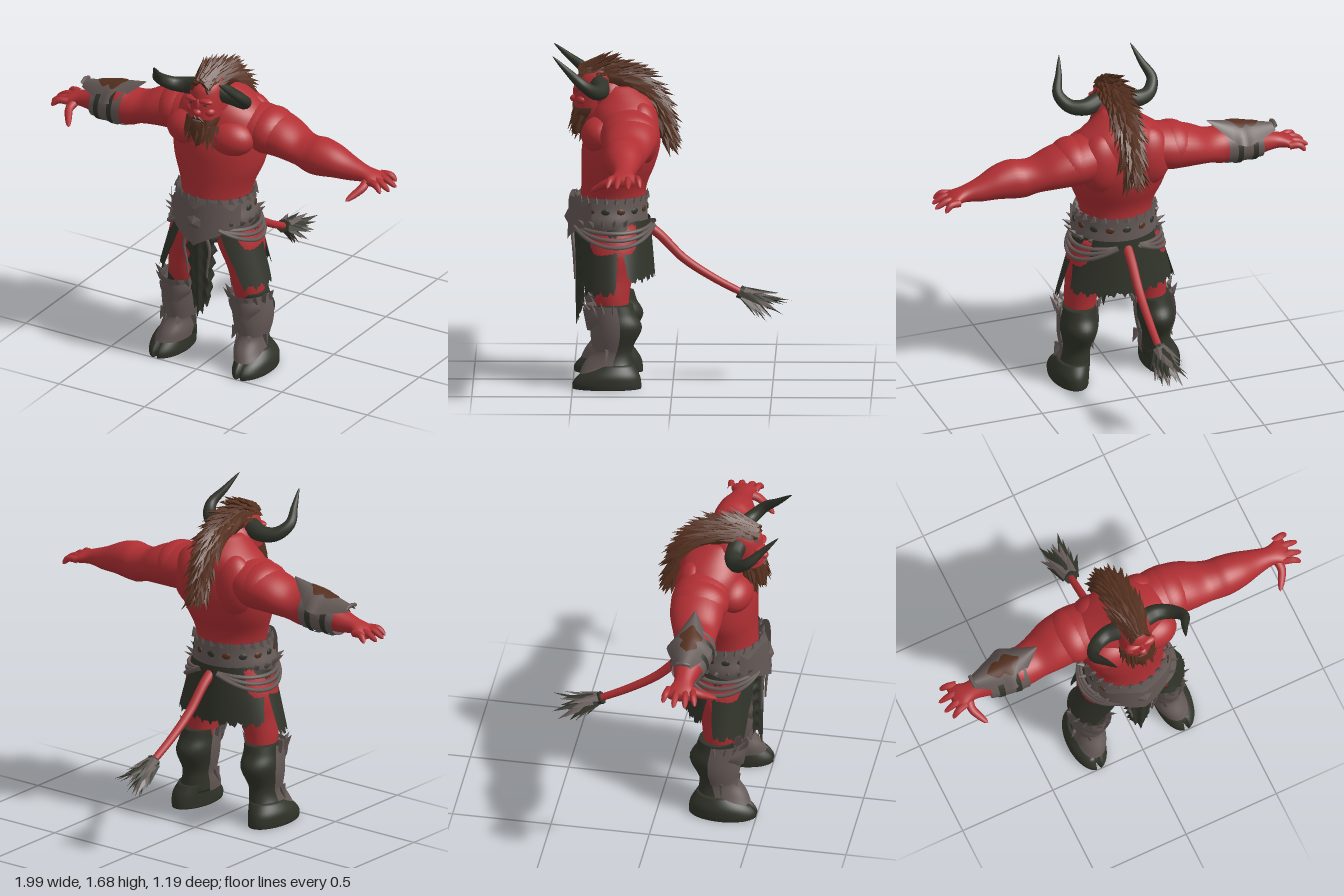
import * as THREE from 'three';
import { mergeGeometries, mergeVertices } from 'three/addons/utils/BufferGeometryUtils.js';

const V = (x, y, z) => new THREE.Vector3(x, y, z);
const { sin, cos, abs, PI, sqrt, max, min } = Math;
const lerp = THREE.MathUtils.lerp, rad = THREE.MathUtils.degToRad;

function makeRandom(seed) {
  return () => ((seed = (seed * 16807) % 2147483647) / 2147483647);
}

// Grid surface from a rule fn(u, v) -> Vector3
function sheet(nu, nv, fn) {
  const pos = [], idx = [];
  for (let j = 0; j <= nv; j++) for (let i = 0; i <= nu; i++) pos.push(...fn(i / nu, j / nv).toArray());
  for (let j = 0; j < nv; j++) for (let i = 0; i < nu; i++) {
    const a = j * (nu + 1) + i, c = a + nu + 1;
    idx.push(a, a + 1, c, a + 1, c + 1, c);
  }
  let g = new THREE.BufferGeometry();
  g.setAttribute('position', new THREE.Float32BufferAttribute(pos, 3));
  g.setIndex(idx);
  g = mergeVertices(g, 1e-5);
  g.computeVertexNormals();
  return g;
}

// Smooth loft through elliptical sections [position, centre1, centre2, radius1, radius2], ascending
function loft(axis, sections, { t0 = 0, t1 = 2 * PI, n = 32, cap = true } = {}) {
  const centre = new THREE.CatmullRomCurve3(sections.map(s => V(s[0], s[1], s[2])), false, 'catmullrom');
  const radius = new THREE.CatmullRomCurve3(sections.map(s => V(s[3], s[4], 0)), false, 'catmullrom');
  const rows = (sections.length - 1) * 5, extra = cap ? 1 : 0;
  return sheet(n, rows + 2 * extra, (u, v) => {
    const row = Math.round(v * (rows + 2 * extra)) - extra;
    const k = min(1, max(0, row / rows)), c = centre.getPoint(k), r = radius.getPoint(k);
    const s = row < 0 || row > rows ? 0 : 1, t = lerp(t0, t1, u);
    return axis === 'y'
      ? V(c.y + s * r.x * sin(t), c.x, c.z + s * r.y * cos(t))
      : V(c.x, c.y + s * r.x * cos(t), c.z + s * r.y * sin(t));
  });
}

// Tube with a radius rule r(t)
function taper(points, r, segs = 24, sides = 10) {
  const curve = new THREE.CatmullRomCurve3(points.map(p => V(...p)));
  const g = new THREE.TubeGeometry(curve, segs, 1, sides), p = g.attributes.position, v = V(0, 0, 0);
  for (let i = 0; i < p.count; i++) {
    const t = Math.floor(i / (sides + 1)) / segs, c = curve.getPointAt(t);
    v.fromBufferAttribute(p, i).sub(c).multiplyScalar(r(t)).add(c);
    p.setXYZ(i, v.x, v.y, v.z);
  }
  return g;
}

const ball = (x, y, z, a, b, c) => new THREE.SphereGeometry(1, 28, 18).scale(a, b, c).translate(x, y, z);

// Faceted pointed lock, thorn or leaf
function spike(base, dir, len, r, flat = 0.6, sides = 4) {
  const g = new THREE.ConeGeometry(r, len, sides).translate(0, len / 2, 0).scale(1, 1, flat).toNonIndexed();
  g.applyQuaternion(new THREE.Quaternion().setFromUnitVectors(V(0, 1, 0), dir.clone().normalize()));
  g.translate(base.x, base.y, base.z);
  g.computeVertexNormals();
  return g;
}

function mirrored(geo) {
  const g = geo.clone().scale(-1, 1, 1);
  const ids = g.index ? [...g.index.array] : Array.from({ length: g.attributes.position.count }, (_, i) => i);
  for (let i = 0; i < ids.length; i += 3) [ids[i + 1], ids[i + 2]] = [ids[i + 2], ids[i + 1]];
  g.setIndex(ids);
  return g;
}

export function createModel() {
  const root = new THREE.Group();
  const material = (name, color, side = THREE.DoubleSide) => Object.assign(new THREE.MeshStandardMaterial({ color, side }), { name });
  const skin = material('red skin', 0xb23034, THREE.FrontSide), dark = material('dark hide', 0x31342a);
  const iron = material('grey armour', 0x655a57), brown = material('brown hair', 0x55301f);
  const add = (name, geo, mat) => { const m = new THREE.Mesh(geo, mat); m.name = name; root.add(m); };
  const pair = (name, geo, mat) => { add(name + 'Left', geo, mat); add(name + 'Right', mirrored(geo), mat); };
  const rnd = makeRandom(77);

  // Torso, neck and muscles
  add('torso', loft('y', [[.68, 0, .29, .12, .13], [.8, 0, .3, .19, .165], [.92, 0, .3, .183, .162], [1, 0, .295, .2, .165],
    [1.1, 0, .275, .24, .185], [1.2, 0, .26, .257, .195], [1.3, 0, .25, .255, .18], [1.38, 0, .24, .225, .165],
    [1.44, 0, .24, .15, .135], [1.5, 0, .27, .07, .08]], { n: 48 }), skin);
  add('neck', ball(0, 1.42, .32, .1, .12, .1), skin);
  pair('chest', ball(.115, 1.265, .36, .13, .095, .1), skin);
  pair('backMuscle', ball(.125, 1.27, .16, .115, .16, .095), skin);
  pair('shoulder', ball(.265, 1.285, .215, .115, .118, .146), skin);

  // Arms and hands
  pair('arm', loft('x', [[.12, 1.3, .22, .11, .13], [.22, 1.285, .215, .12, .145], [.3, 1.275, .21, .112, .138], [.38, 1.26, .215, .1, .13],
    [.46, 1.235, .225, .085, .112], [.52, 1.222, .235, .094, .104], [.58, 1.225, .24, .098, .102], [.66, 1.22, .24, .083, .09],
    [.75, 1.2, .235, .06, .066], [.83, 1.19, .235, .04, .05], [.89, 1.178, .232, .03, .066], [.93, 1.165, .232, .02, .066]]), skin);
  const finger = t => .02 * sqrt(max(0, 1 - t ** 5)) * (1 - .25 * t);
  [[.17, .15, .96], [.212, .21, .995], [.252, .268, .99], [.285, .315, .965]].forEach(([z0, z1, x], i) =>
    pair('finger' + (i + 1), taper([[.88, 1.178, z0], [.93, 1.178, lerp(z0, z1, .55)], [x, 1.145, z1]], finger, 14, 8), skin));
  pair('thumb', taper([[.85, 1.18, .25], [.86, 1.155, .31], [.835, 1.125, .36], [.81, 1.1, .4]], t => finger(t) * 1.2, 14, 8), skin);

  // Head and face
  add('head', loft('y', [[1.29, 0, .42, .05, .05], [1.36, 0, .41, .078, .088], [1.43, 0, .405, .085, .092], [1.5, 0, .395, .085, .095],
    [1.56, 0, .37, .075, .1], [1.61, 0, .34, .04, .05]]), skin);
  add('nose', mergeGeometries([ball(0, 1.43, .49, .024, .02, .026), ball(0, 1.465, .482, .015, .04, .02)]), skin);
  pair('brow', ball(.037, 1.492, .474, .042, .015, .024).rotateZ(0), skin);
  pair('cheek', ball(.05, 1.43, .455, .03, .024, .03), skin);
  pair('eye', ball(.036, 1.471, .482, .015, .005, .006), dark);
  add('teeth', ball(0, 1.385, .497, .026, .008, .008), iron);

  // Horns
  pair('horn', taper([[.06, 1.51, .37], [.14, 1.49, .36], [.21, 1.495, .39], [.25, 1.54, .45], [.22, 1.605, .525], [.19, 1.675, .6]],
    t => .048 * (1 - t) ** .75 + .001, 36, 14), dark);

  // Mane: core along the spine with overlapping locks
  const manePath = [[0, 1.545, .47], [0, 1.555, .34], [0, 1.51, .2], [0, 1.42, .105], [0, 1.3, .06], [0, 1.22, .04]];
  const maneCurve = new THREE.CatmullRomCurve3(manePath.map(p => V(...p)));
  const maneR = t => .072 * (1 - .55 * t * t) * min(1, .65 + 3 * t);
  add('maneCore', taper(manePath, t => maneR(t) * (t > .98 ? .1 : 1)), brown);
  const locks = [], X = V(1, 0, 0);
  for (let i = 0; i < 24; i++) for (let j = 0; j < 8; j++) {
    const t = min(1, (i + rnd() * .8) / 24), a = rad(-95 + 190 * (j + rnd()) / 8);
    const T = maneCurve.getTangentAt(t), N = X.clone().cross(T);
    const out = N.multiplyScalar(cos(a)).addScaledVector(X, sin(a) * .9);
    const base = maneCurve.getPointAt(t).addScaledVector(out, maneR(t) * .82);
    locks.push(spike(base, T.multiplyScalar(.85).addScaledVector(out, .28 + .25 * rnd()), .08 + .05 * rnd(), .024, .7));
  }
  add('maneLocks', mergeGeometries(locks), brown);

  // Beard
  add('beardCore', loft('y', [[1.25, 0, .49, .012, .015], [1.31, 0, .455, .055, .055], [1.36, 0, .43, .078, .076], [1.395, 0, .41, .084, .082]]), brown);
  const beard = [];
  for (let i = 0; i < 46; i++) {
    const a = rad(-110 + 220 * rnd()), y = 1.3 + .1 * rnd(), k = y > 1.34 ? 1 : .75;
    if (abs(a) < .4 && y > 1.36) continue;
    beard.push(spike(V(.08 * k * sin(a), y, .425 + .07 * k * cos(a)), V(sin(a) * .25, -1, .25 + .2 * cos(a)), .07 + .03 * rnd(), .02));
  }
  add('beardLocks', mergeGeometries(beard), brown);
  pair('moustache', spike(V(.008, 1.405, .497), V(.8, -.75, -.25), .085, .015), brown);

  // Legs, boots and cloven hooves
  pair('leg', loft('y', [[.34, .19, .29, .07, .07], [.45, .185, .305, .082, .088], [.55, .17, .305, .09, .105], [.68, .14, .3, .115, .135], [.82, .11, .3, .1, .14]]), skin);
  pair('boot', loft('y', [[.08, .23, .3, .085, .11], [.14, .215, .29, .07, .088], [.2, .21, .285, .068, .085], [.3, .205, .275, .092, .122],
    [.37, .2, .28, .085, .095], [.42, .195, .29, .083, .09]]), dark);
  const hoof = loft('y', [[0, .243, .328, .09, .172], [.03, .243, .328, .093, .172], [.07, .24, .315, .092, .15], [.12, .225, .295, .08, .1]], { n: 48 });
  const hp = hoof.attributes.position;
  for (let i = 0; i < hp.count; i++) {
    const d = abs(hp.getX(i) - .242);
    if (hp.getZ(i) > .38 && d < .01) hp.setZ(i, hp.getZ(i) - .045);
  }
  hoof.computeVertexNormals();
  pair('hoof', hoof, dark);

  // Shin guards with thorned upper rims
  const half = { t0: -1.75, t1: 1.75, cap: false };
  pair('footGuard', loft('y', [[.075, .23, .33, .085, .135], [.12, .218, .32, .08, .125], [.18, .212, .3, .078, .105], [.23, .21, .29, .09, .11]], half), iron);
  pair('shinGuard', loft('y', [[.19, .21, .295, .085, .105], [.26, .208, .285, .1, .125], [.33, .205, .285, .105, .128], [.42, .2, .3, .1, .128]], half), iron);
  pair('kneePlate', loft('y', [[.29, .205, .31, .06, .118], [.35, .203, .305, .1, .135], [.4, .2, .315, .095, .135]], { ...half, t0: -1.1, t1: 1.1 }), iron);
  const thorns = [];
  for (let i = 0; i < 9; i++) {
    const a = -1.6 + .4 * i;
    thorns.push(spike(V(.2 + .096 * sin(a), .39, .3 + .122 * cos(a)), V(sin(a) * .5, .8, cos(a) * .6), .05 + .03 * rnd(), .022, .4));
    if (i % 2) thorns.push(spike(V(.21 + .085 * sin(a), .2, .29 + .1 * cos(a)), V(sin(a) * .4, -1, cos(a) * .2), .08, .025, .4));
  }
  pair('shinThorns', mergeGeometries(thorns), iron);

  // Belt, pointed front plate, studs, hip thorns and hanging cords
  add('belt', loft('y', [[.77, 0, .31, .215, .185], [.83, 0, .322, .222, .195], [.89, 0, .315, .207, .186], [.95, 0, .307, .2, .18]], { cap: false, n: 48 }), iron);
  add('beltPlate', sheet(40, 10, (u, v) => {
    const t = lerp(-1.15, 1.15, u), k = abs(t) / 1.15, y = lerp(.7 + .12 * k ** .8, .9 + .05 * abs(sin(k * 4)), v);
    return V(.222 * sin(t), y, .322 + (.205 - .025 * (y - .8)) * cos(t));
  }), iron);
  add('beltBoss', spike(V(0, .83, .52), V(0, 0, 1), .025, .05, 1, 6), iron);
  const rim = [];
  for (let i = 0; i < 22; i++) {
    const a = 2 * PI * i / 22, out = V(sin(a), .4 + .5 * rnd(), cos(a));
    rim.push(spike(V(.198 * sin(a), .93, .307 + .176 * cos(a)), V(out.x * .3, 1, out.z * .3), .035, .025, .5));
    if (abs(out.x) > .6) rim.push(spike(V(.215 * sin(a), .82, .32 + .19 * cos(a)), out, .055, .018, .7));
  }
  add('beltThorns', mergeGeometries(rim), iron);
  for (let i = 0; i < 11; i++) {
    const a = rad(60 + 24 * i);
    add('beltStud' + (i + 1), new THREE.SphereGeometry(1, 10, 8).scale(.022, .016, .006).rotateY(a)
      .translate(.209 * sin(a), .885, .316 + .187 * cos(a)), i % 2 ? dark : brown);
  }
  for (let c = 0; c < 3; c++) {
    const pts = Array.from({ length: 9 }, (_, i) => {
      const a = rad(30 + 17 * i);
      return [(.232 + .008 * c) * sin(a), .8 - (.02 + .035 * c) * sin(PI * i / 8), .305 + (.2 + .008 * c) * cos(a)];
    });
    pair('hipCord' + (c + 1), taper(pts, () => .011, 28, 6), iron);
  }
  pair('frontCord', taper([[.05, .78, .505], [.075, .68, .497], [.06, .58, .492], [.055, .52, .49]], t => .01 * (1 - .5 * t), 12, 6), iron);

  // Torn hide skirt, slit at the sides, and long front flap
  const tear = a => .05 * abs(((a * 4.1) % 1) - .5) + .035 * abs(((a * 9.7) % 1) - .5);
  pair('skirt', sheet(72, 10, (u, v) => {
    const d = 1 - v, t = lerp(rad(26 + 22 * d), PI, u), deg = t * 180 / PI;
    const slit = max(0, 1 - abs(deg - 99) / 11);
    const hem = (deg < 95 ? .46 : .52) + .15 * min(1, slit * 1.8) + tear(t);
    const y = lerp(hem, .83, v), f = (.83 - y) / .36;
    const back = .5 - .5 * cos(max(0, t - 1.3) / (PI - 1.3) * PI);
    return V((.21 + (.11 - .05 * back) * f) * sin(t), y, .3 - .02 * f + (.185 + (cos(t) > 0 ? .05 : .01) * f) * cos(t));
  }), dark);
  add('frontFlap', sheet(24, 24, (u, v) => {
    const s = 2 * u - 1, d = 1 - v, w = (.1 - .05 * d) * (1 + .16 * sin(d * 38));
    return V(s * w, lerp(.26 + .09 * abs(s) + .05 * abs(sin(u * 14)), .82, v), .49 - .01 * d - .03 * s * s + .006 * cos(s * 9));
  }), dark);

  // Tail with leafy tuft
  add('tail', taper([[0, .8, .15], [0, .74, .07], [0, .62, -.05], [0, .52, -.2], [0, .435, -.36]], t => .026 - .008 * t, 30), skin);
  add('tuftCore', spike(V(0, .45, -.33), V(0, -.5, -.9), .2, .035, 1, 8), dark);
  const leaves = [[], []];
  for (let i = 0; i < 26; i++) {
    const a = i * 2.4, k = .2 + .4 * rnd();
    const side = V(cos(a), sin(a) * .88, -sin(a) * .48);
    const base = V(0, .45 - .05 * (i / 26), -.34 - .1 * (i / 26)).addScaledVector(side, .022);
    leaves[i % 2].push(spike(base, V(0, -.48, -.88).addScaledVector(side, k), .1 + .06 * rnd(), .028, .4));
  }
  add('tuftDarkLeaves', mergeGeometries(leaves[0]), dark);
  add('tuftGreyLeaves', mergeGeometries(leaves[1]), iron);

  // Right forearm bracer: cuff, straps, pointed plate with rust patch
  add('bracerCuff', loft('x', [[-.745, 1.195, .237, .073, .08], [-.65, 1.21, .24, .093, .1], [-.55, 1.222, .24, .103, .108]], { cap: false }), iron);
  [-.71, -.625].forEach((x, i) => add('bracerStrap' + (i + 1),
    loft('x', [[x, 1.201 + i * .012, .238, .088 + i * .014, .093 + i * .014], [x + .03, 1.206 + i * .012, .238, .092 + i * .014, .098 + i * .014]], { cap: false }), dark));
  const plate = (u, s, lift) => {
    const w = .115 * min(1, .3 + u * 1.4, (1 - u) * 2.2 + .04);
    return V(lerp(-.815, -.46, u), lerp(1.295, 1.372, u) - .085 * s * s * min(1, w / .1) + lift, .228 + s * w);
  };
  add('bracerPlate', sheet(24, 14, (u, v) => plate(u, 2 * v - 1, 0)), iron);
  add('bracerRim', taper([[-.815, 1.29, .195], [-.818, 1.297, .228], [-.815, 1.29, .262]], () => .01, 8, 6), iron);
  add('rustPatch', sheet(16, 10, (u, v) => {
    const s = (2 * v - 1) * (.3 + .25 * abs(sin(u * 7))) * sqrt(max(0, sin(PI * u)));
    return plate(.22 + .5 * u, s + .05, .005);
  }), brown);

  return root;
}
